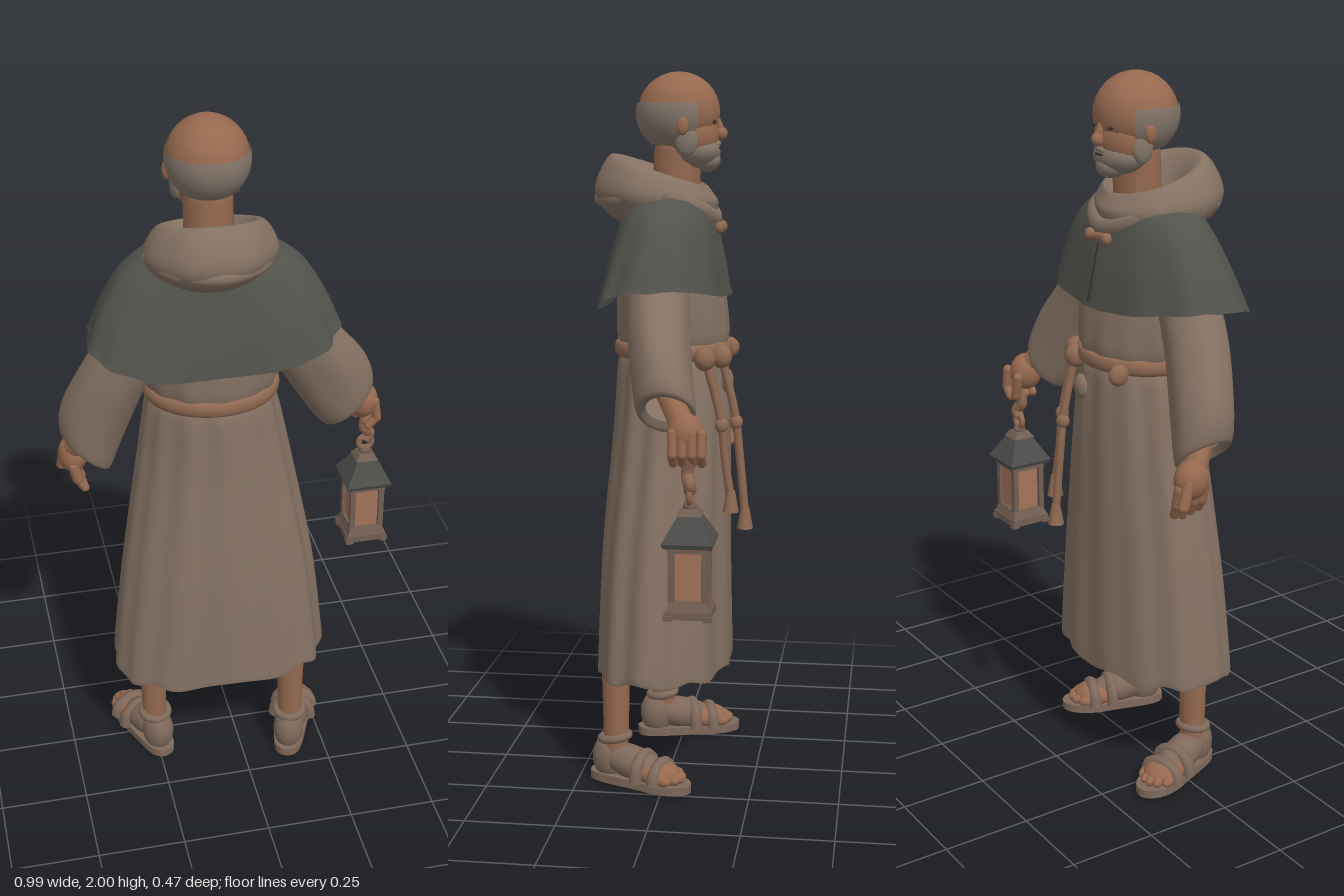
import * as THREE from 'three';

const mat = (name, color, side = THREE.FrontSide) => {
  const m = new THREE.MeshStandardMaterial({ color, side });
  m.name = name;
  return m;
};
const V = (a) => new THREE.Vector3(...a);

export function createModel() {
  const root = new THREE.Group();
  root.name = 'friar';
  const robe = mat('robeBrown', 0x857263, THREE.DoubleSide);
  const cape = mat('capeCharcoal', 0x52524c, THREE.DoubleSide);
  const skin = mat('skin', 0x96694f);
  const hair = mat('greyHair', 0x84766a, THREE.DoubleSide);
  const rope = mat('ropeTan', 0x8d6851);
  const leather = mat('sandalLeather', 0x7f695b);
  const iron = mat('lanternRoof', 0x4c4d49);
  const frame = mat('lanternFrame', 0x725e52);
  const glass = mat('lanternPane', 0xa3745a);
  const dark = mat('darkLine', 0x3a302b);

  const add = (name, geo, m, parent = root) => {
    const mesh = new THREE.Mesh(geo, m);
    mesh.name = name;
    parent.add(mesh);
    return mesh;
  };
  const ball = (name, p, r, m, parent = root) => {
    const b = add(name, new THREE.SphereGeometry(1, 24, 16), m, parent);
    b.position.set(...p);
    b.scale.set(...r);
    return b;
  };
  const tube = (name, pts, r, m, parent = root) =>
    add(name, new THREE.TubeGeometry(new THREE.CatmullRomCurve3(pts.map(V)), 28, r, 8), m, parent);
  // rounded rod between two points
  const rod = (name, a, b, r, m, parent = root) => {
    const d = V(b).sub(V(a));
    const c = add(name, new THREE.CapsuleGeometry(r, d.length(), 5, 10), m, parent);
    c.position.copy(V(a)).addScaledVector(d, 0.5);
    c.quaternion.setFromUnitVectors(new THREE.Vector3(0, 1, 0), d.normalize());
    return c;
  };

  // closed surface from smooth cross-sections:
  // [y, cx, cz, rx, rz, slopeX, slopeZ, fold depth, squareness of the +z half]
  const loft = (rows, { folds = 0, warp = () => {}, seg = 72 } = {}) => {
    const pos = [], idx = [], p = new THREE.Vector3(), steps = 6;
    const n = (rows.length - 1) * steps;
    const power = (v, e) => Math.sign(v) * Math.abs(v) ** e;
    for (let j = 0; j <= n; j++) {
      const i = Math.min(Math.floor(j / steps), rows.length - 2), t = j / steps - i;
      const at = (k) => rows[Math.max(0, Math.min(rows.length - 1, k))];
      const s = Array.from({ length: 9 }, (_, c) => {
        const [a, b, d, e] = [i - 1, i, i + 1, i + 2].map((k) => at(k)[c] || 0);
        return b + 0.5 * t * (d - a + t * (2 * a - 5 * b + 4 * d - e + t * (3 * (b - d) + e - a)));
      });
      for (let k = 0; k < seg; k++) {
        const q = (k / seg) * Math.PI * 2, e = 1 - s[8] * (k < seg / 2 ? 1 : 0.15);
        const w = 1 + s[7] * (Math.sin(folds * q) + 0.6 * Math.sin((folds - 4) * q + 1.3));
        const dx = s[3] * w * power(Math.cos(q), e), dz = s[4] * w * power(Math.sin(q), e);
        p.set(s[1] + dx, s[0] + s[5] * dx + s[6] * dz, s[2] + dz);
        warp(p, q, j / n);
        pos.push(p.x, p.y, p.z);
        if (j < n) {
          const a = j * seg + k, b = j * seg + ((k + 1) % seg);
          idx.push(a, a + seg, b, b, a + seg, b + seg);
        }
      }
    }
    const g = new THREE.BufferGeometry();
    g.setAttribute('position', new THREE.Float32BufferAttribute(pos, 3));
    g.setIndex(idx);
    g.computeVertexNormals();
    return g;
  };

  // robe: skirt with folds, waist and chest
  add('robe', loft([
    [0.31, -0.05, 0.022, 0.312, 0.19, 0, 0, 0.018, 0.22],
    [0.36, -0.05, 0.022, 0.311, 0.19, 0, 0, 0.018, 0.2],
    [0.65, -0.05, 0.02, 0.277, 0.183, 0, 0, 0.018, 0.1],
    [1.0, -0.055, 0.005, 0.216, 0.166, 0, 0, 0.02],
    [1.17, -0.06, 0.003, 0.185, 0.158, 0, 0, 0.02],
    [1.22, -0.06, 0.003, 0.172, 0.15, 0, 0, 0.01],
    [1.28, -0.06, 0.003, 0.19, 0.16, 0, 0, 0.014],
    [1.42, -0.06, 0.01, 0.2, 0.15],
    [1.56, -0.06, 0.015, 0.17, 0.12],
    [1.65, -0.06, 0.01, 0.08, 0.08],
  ], { folds: 13, seg: 120, warp: (p, q, t) => { if (t < 0.1) p.y += 0.008 * Math.sin(9 * q); } }), robe);

  // shoulder cape, wide corners at the back, hem raised at the sides
  add('shoulderCape', loft([
    [1.345, -0.06, 0.018, 0.343, 0.178, 0, 0, 0.018, 0.42],
    [1.46, -0.06, 0.016, 0.308, 0.16, 0, 0, 0.014, 0.28],
    [1.57, -0.06, 0.015, 0.257, 0.137, 0, 0, 0.006, 0.12],
    [1.635, -0.065, 0.015, 0.195, 0.115],
    [1.67, -0.07, 0.015, 0.12, 0.085],
  ], { folds: 11, seg: 96, warp: (p, q, t) => {
    p.y += (1 - t) ** 2 * (0.065 * Math.cos(q) ** 2 + 0.035 * Math.max(0, -Math.sin(q)));
  } }), cape);
  rod('capeOpening', [-0.06, 1.55, -0.13], [-0.06, 1.4, -0.163], 0.004, dark);
  rod('capeToggle', [-0.1, 1.575, -0.128], [-0.02, 1.565, -0.13], 0.011, rope);
  [-0.1, -0.02].forEach((x) => ball('toggleKnot', [x, 1.57, -0.132], [0.017, 0.017, 0.014], rope));

  // lowered hood rolled around the neck
  add('hood', loft([
    [1.585, -0.072, 0.03, 0.115, 0.12, 0, -0.05, 0.01],
    [1.615, -0.072, 0.045, 0.16, 0.158, 0, 0.02, 0.012],
    [1.66, -0.07, 0.055, 0.178, 0.174, 0, 0.1, 0.012],
    [1.71, -0.068, 0.048, 0.158, 0.152, 0, 0.28, 0.01],
    [1.73, -0.066, 0.04, 0.132, 0.13, 0, 0.34],
    [1.705, -0.064, 0.025, 0.105, 0.105, 0, 0.32],
    [1.66, -0.064, 0.01, 0.072, 0.075, 0, 0.2],
  ], { folds: 7 }), robe);
  tube('hoodFold', [[-0.232, 1.66, 0.06], [-0.185, 1.65, 0.155], [-0.07, 1.65, 0.21],
    [0.045, 1.65, 0.155], [0.092, 1.66, 0.06]], 0.022, robe);
  tube('hoodCollar', [[-0.215, 1.665, 0.02], [-0.155, 1.625, -0.075], [-0.06, 1.595, -0.11],
    [0.035, 1.625, -0.075], [0.08, 1.665, 0.02]], 0.026, robe);

  // wide sleeves with slanted cuffs
  add('lanternSleeve', loft([
    [1.11, 0.335, -0.03, 0.045, 0.055, 0.9],
    [1.105, 0.345, -0.03, 0.072, 0.08, 0.9],
    [1.2, 0.294, -0.012, 0.088, 0.083, 0.75, 0, 0.015],
    [1.34, 0.2, 0.01, 0.088, 0.085, 0.5, 0, 0.012],
    [1.5, 0.1, 0.02, 0.08, 0.08, 0.3],
  ], { folds: 6, seg: 40 }), robe);
  add('freeSleeve', loft([
    [1.05, -0.4, -0.025, 0.05, 0.05, -0.8],
    [1.04, -0.412, -0.03, 0.068, 0.078, -0.84],
    [1.14, -0.39, -0.02, 0.082, 0.083, -0.65, 0, 0.015],
    [1.32, -0.314, 0.01, 0.082, 0.085, -0.4, 0, 0.012],
    [1.5, -0.22, 0.02, 0.08, 0.08, -0.2],
  ], { folds: 6, seg: 40 }), robe);

  // hand gripping the lantern
  const grip = new THREE.Group();
  grip.name = 'lanternHand';
  root.add(grip);
  rod('wrist', [0.32, 1.17, -0.025], [0.4, 1.085, -0.08], 0.034, skin, grip);
  ball('palm', [0.41, 1.06, -0.09], [0.046, 0.055, 0.048], skin, grip);
  for (let i = 0; i < 4; i++) {
    const z = -0.136 + i * 0.025;
    rod('finger', [0.44, 1.065, z], [0.448, 1.01, z], 0.014, skin, grip);
    rod('fingertip', [0.448, 1.01, z], [0.424, 0.985, z], 0.013, skin, grip);
  }
  rod('thumb', [0.388, 1.05, -0.13], [0.405, 0.99, -0.13], 0.015, skin, grip);

  // relaxed hand
  const open = new THREE.Group();
  open.name = 'freeHand';
  root.add(open);
  rod('wrist', [-0.41, 1.07, -0.04], [-0.437, 1.02, -0.075], 0.034, skin, open);
  ball('palm', [-0.443, 0.99, -0.09], [0.042, 0.055, 0.05], skin, open);
  for (let i = 0; i < 4; i++) {
    const z = -0.13 + i * 0.026, drop = 0.006 * Math.abs(i - 1);
    rod('finger', [-0.447, 0.97, z], [-0.436, 0.925, z], 0.016, skin, open);
    rod('fingertip', [-0.436, 0.925, z], [-0.418, 0.885 + drop, z + 0.004], 0.013, skin, open);
  }
  rod('thumb', [-0.465, 0.99, -0.115], [-0.472, 0.93, -0.135], 0.016, skin, open);

  // head with a shaved crown, hair fringe and beard
  const head = new THREE.Group();
  head.name = 'head';
  head.position.x = -0.06;
  root.add(head);
  rod('neck', [0, 1.6, 0], [0, 1.78, -0.01], 0.068, skin, head);
  ball('skull', [0, 1.888, -0.012], [0.111, 0.112, 0.116], skin, head);
  ball('jaw', [0, 1.825, -0.048], [0.09, 0.085, 0.078], skin, head);
  const fringe = add('hairFringe', new THREE.SphereGeometry(1, 40, 16, -0.6, Math.PI + 1.2, 1.35, 1.1), hair, head);
  fringe.position.set(0, 1.888, -0.01);
  fringe.scale.set(0.114, 0.115, 0.119);
  ball('beard', [0, 1.783, -0.06], [0.08, 0.052, 0.07], hair, head);
  ball('chinBeard', [0, 1.757, -0.09], [0.042, 0.034, 0.04], hair, head);
  ball('mouth', [0, 1.79, -0.126], [0.02, 0.004, 0.006], dark, head);
  ball('nose', [0, 1.83, -0.13], [0.016, 0.019, 0.019], skin, head);
  rod('noseBridge', [0, 1.865, -0.119], [0, 1.835, -0.132], 0.011, skin, head);
  for (const s of [-1, 1]) {
    ball('ear', [s * 0.106, 1.85, -0.035], [0.011, 0.026, 0.017], skin, head);
    ball('sideburn', [s * 0.08, 1.812, -0.043], [0.016, 0.045, 0.032], hair, head);
    rod('moustache', [s * 0.006, 1.803, -0.123], [s * 0.034, 1.792, -0.111], 0.008, hair, head);
    rod('eyebrow', [s * 0.02, 1.88, -0.12], [s * 0.056, 1.88, -0.105], 0.006, hair, head);
    ball('eye', [s * 0.037, 1.862, -0.115], [0.012, 0.005, 0.006], dark, head);
  }

  // rope belt with hanging cords
  add('ropeBelt', loft([
    [1.205, -0.06, 0.003, 0.17, 0.148], [1.212, -0.06, 0.003, 0.186, 0.163],
    [1.23, -0.06, 0.003, 0.192, 0.168], [1.248, -0.06, 0.003, 0.186, 0.163],
    [1.255, -0.06, 0.003, 0.17, 0.148],
  ]), rope);
  [[0.04, 0.76, -0.215], [0.1, 0.82, -0.18]].forEach(([x, y, z]) => {
    const knotZ = x > 0.07 ? -0.105 : -0.145;
    ball('beltKnot', [x, 1.215, knotZ], [0.03, 0.034, 0.03], rope);
    tube('beltCord', [[x, 1.22, knotZ], [x, 1.05, z + 0.03], [x, 0.92, z + 0.015], [x, y, z]], 0.012, rope);
    ball('cordKnot', [x, 1.03, z + 0.027], [0.019, 0.022, 0.019], rope);
    add('cordTassel', new THREE.CylinderGeometry(0.012, 0.023, 0.06, 12), rope).position.set(x, y - 0.005, z);
  });
  ball('sideKnot', [-0.18, 1.215, -0.145], [0.02, 0.03, 0.03], rope);
  ball('pouch', [-0.01, 1.14, -0.155], [0.03, 0.036, 0.02], robe);

  // legs and sandalled feet
  const sole = new THREE.Shape();
  sole.moveTo(0, -0.005);
  sole.bezierCurveTo(0.06, -0.005, 0.04, 0.1, 0.056, 0.2);
  sole.bezierCurveTo(0.07, 0.35, -0.06, 0.35, -0.056, 0.2);
  sole.bezierCurveTo(-0.04, 0.1, -0.06, -0.005, 0, -0.005);
  [['rearFoot', 0.125, 0.21, -0.35], ['leadFoot', -0.232, 0.13, 0.33]].forEach(([name, x, z, turn]) => {
    const f = new THREE.Group();
    f.name = name;
    f.position.set(x, 0, z);
    f.rotation.y = turn;
    root.add(f);
    const base = add('sole', new THREE.ExtrudeGeometry(sole, { depth: 0.024, bevelEnabled: false, curveSegments: 16 }), leather, f);
    base.rotation.x = -Math.PI / 2;
    add('leg', new THREE.CylinderGeometry(0.04, 0.035, 0.24, 20), skin, f).position.set(0, 0.2, -0.074);
    ball('heel', [0, 0.065, -0.054], [0.046, 0.068, 0.052], leather, f);
    const instep = ball('instep', [0, 0.058, -0.13], [0.05, 0.048, 0.11], leather, f);
    instep.rotation.x = -0.22;
    ball('ballOfFoot', [0, 0.042, -0.21], [0.056, 0.036, 0.066], skin, f);
    for (let i = -2; i <= 2; i++)
      ball('toe', [i * 0.021, 0.036, -0.27 + 0.006 * i * i], [0.014, 0.016, 0.024], skin, f);
    const cuff = add('ankleStrap', new THREE.TorusGeometry(0.039, 0.012, 10, 28), leather, f);
    cuff.rotation.x = Math.PI / 2 + 0.15;
    cuff.position.set(0, 0.128, -0.07);
    for (const [zz, h] of [[-0.165, 0.088], [-0.22, 0.072]])
      tube('footStrap', [[-0.056, 0.02, zz], [-0.046, h * 0.72, zz], [0, h, zz], [0.046, h * 0.72, zz], [0.056, 0.02, zz]], 0.018, leather, f);
  });

  // lantern
  const lamp = new THREE.Group();
  lamp.name = 'lantern';
  lamp.position.set(0.431, 0, -0.106);
  root.add(lamp);
  const block = (name, w, h, y, m, x = 0, z = 0) =>
    add(name, new THREE.BoxGeometry(w, h, w), m, lamp).position.set(x, y, z);
  const pyramid = (name, top, bottom, h, y, m) => {
    const r = add(name, new THREE.CylinderGeometry(top * Math.SQRT1_2, bottom * Math.SQRT1_2, h, 4).toNonIndexed(), m, lamp);
    r.geometry.computeVertexNormals();
    r.rotation.y = Math.PI / 4;
    r.position.y = y;
  };
  block('base', 0.122, 0.02, 0.59, frame);
  pyramid('baseFlare', 0.098, 0.118, 0.028, 0.613, frame);
  block('panes', 0.082, 0.15, 0.7, glass);
  block('topRail', 0.108, 0.018, 0.765, frame);
  for (const x of [-1, 1]) for (const z of [-1, 1]) {
    block('post', 0.016, 0.14, 0.695, frame, x * 0.044, z * 0.044);
    block('footBlock', 0.022, 0.015, 0.583, frame, x * 0.053, z * 0.053);
  }
  pyramid('eaves', 0.137, 0.128, 0.012, 0.776, iron);
  pyramid('roof', 0.055, 0.137, 0.07, 0.817, iron);
  pyramid('roofCap', 0.04, 0.066, 0.018, 0.859, frame);
  ball('finial', [0, 0.872, 0], [0.018, 0.016, 0.018], frame, lamp);
  add('carryRing', new THREE.TorusGeometry(0.02, 0.009, 8, 20), rope, lamp).position.y = 0.9;
  tube('carryCord', [[0, 0.91, 0], [0.012, 0.93, 0], [-0.006, 0.955, 0.008], [0, 1.0, 0]], 0.017, rope, lamp);

  return root;
}
